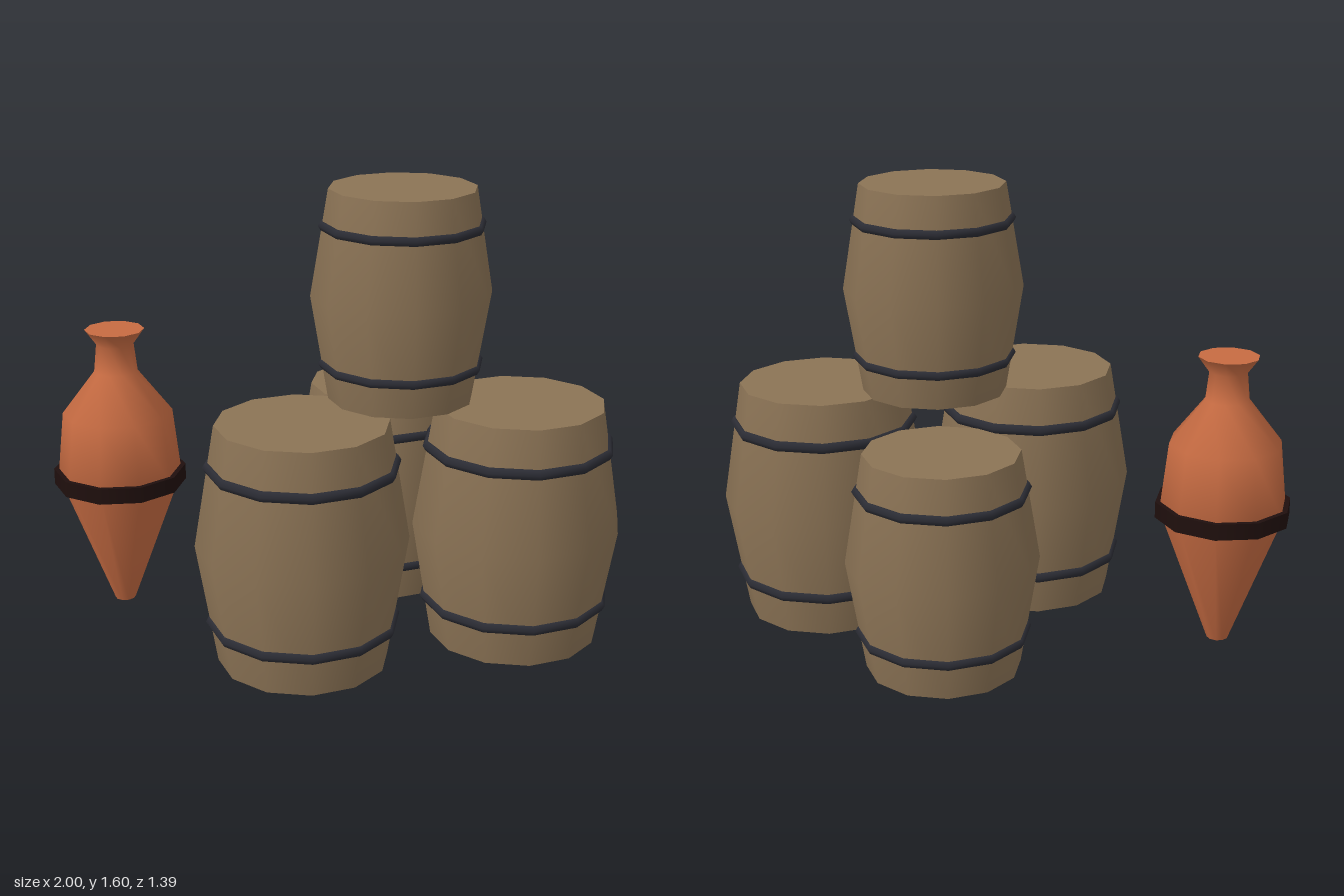
import * as THREE from 'three';

const material = (name, color) => {
  const m = new THREE.MeshStandardMaterial({ color });
  m.name = name;
  return m;
};

export function createModel() {
  const wood = material('barrel wood', 0x8b7355);
  const iron = material('dark iron', 0x2b2c34);
  const clay = material('terracotta', 0xc66b42);
  const paint = material('dark glaze', 0x1f0f0d);

  const add = (parent, name, geometry, mat, y = 0) => {
    const mesh = new THREE.Mesh(geometry, mat);
    mesh.name = name;
    mesh.position.y = y;
    parent.add(mesh);
    return mesh;
  };
  const lathe = (points, sides, start = 0) =>
    new THREE.LatheGeometry(points.map(([r, y]) => new THREE.Vector2(r, y)), sides, start);
  // Flat disc closing an end; dir is 1 facing up, -1 facing down
  const disc = (r, sides, dir) => new THREE.CircleGeometry(r, sides).rotateX(-dir * Math.PI / 2);

  const model = new THREE.Group();
  model.name = 'barrelsAndAmphora';

  // Twelve-sided barrel with two iron hoops
  const H = 0.865, END = 0.298, BELLY = 0.37;
  const staves = lathe([[END, 0], [BELLY, H / 2], [END, H]], 12);
  const hoop = new THREE.TorusGeometry(0.318, 0.02, 6, 12).rotateX(Math.PI / 2);
  const lid = disc(END, 12, 1), base = disc(END, 12, -1);

  const addBarrel = (name, x, y, z, scale) => {
    const barrel = new THREE.Group();
    barrel.name = name;
    add(barrel, 'staves', staves, wood);
    add(barrel, 'lid', lid, wood, H);
    add(barrel, 'base', base, wood);
    add(barrel, 'lowerHoop', hoop, iron, 0.148);
    add(barrel, 'upperHoop', hoop, iron, 0.717);
    barrel.position.set(x, y, z);
    barrel.scale.setScalar(scale);
    model.add(barrel);
  };
  addBarrel('frontBarrel', -0.14, 0, 0.32, 1);
  addBarrel('sideBarrel', 0.63, 0, 0.195, 1);
  addBarrel('backBarrel', 0.23, 0, -0.365, 0.9);
  addBarrel('topBarrel', 0.23, H, 0.075, 0.855);

  // Ten-sided amphora with a glazed band
  const amphora = new THREE.Group();
  amphora.name = 'amphora';
  const turn = Math.PI / 2;
  add(amphora, 'body', lathe([
    [0.038, 0], [0.225, 0.495], [0.198, 0.74], [0.078, 0.895], [0.067, 0.995], [0.107, 1.05],
  ], 10, turn), clay);
  add(amphora, 'mouth', disc(0.107, 10, 1), clay, 1.05);
  add(amphora, 'foot', disc(0.038, 10, -1), clay);

  const bandParts = { bandUnder: [[0.2, 0.467], [0.24, 0.467]], band: [[0.24, 0.467], [0.24, 0.525]],
    bandTop: [[0.24, 0.525], [0.2, 0.525]] };
  for (const [name, points] of Object.entries(bandParts)) add(amphora, name, lathe(points, 10, turn), paint);

  amphora.position.set(-0.76, 0, -0.237);
  model.add(amphora);
  return model;
}
